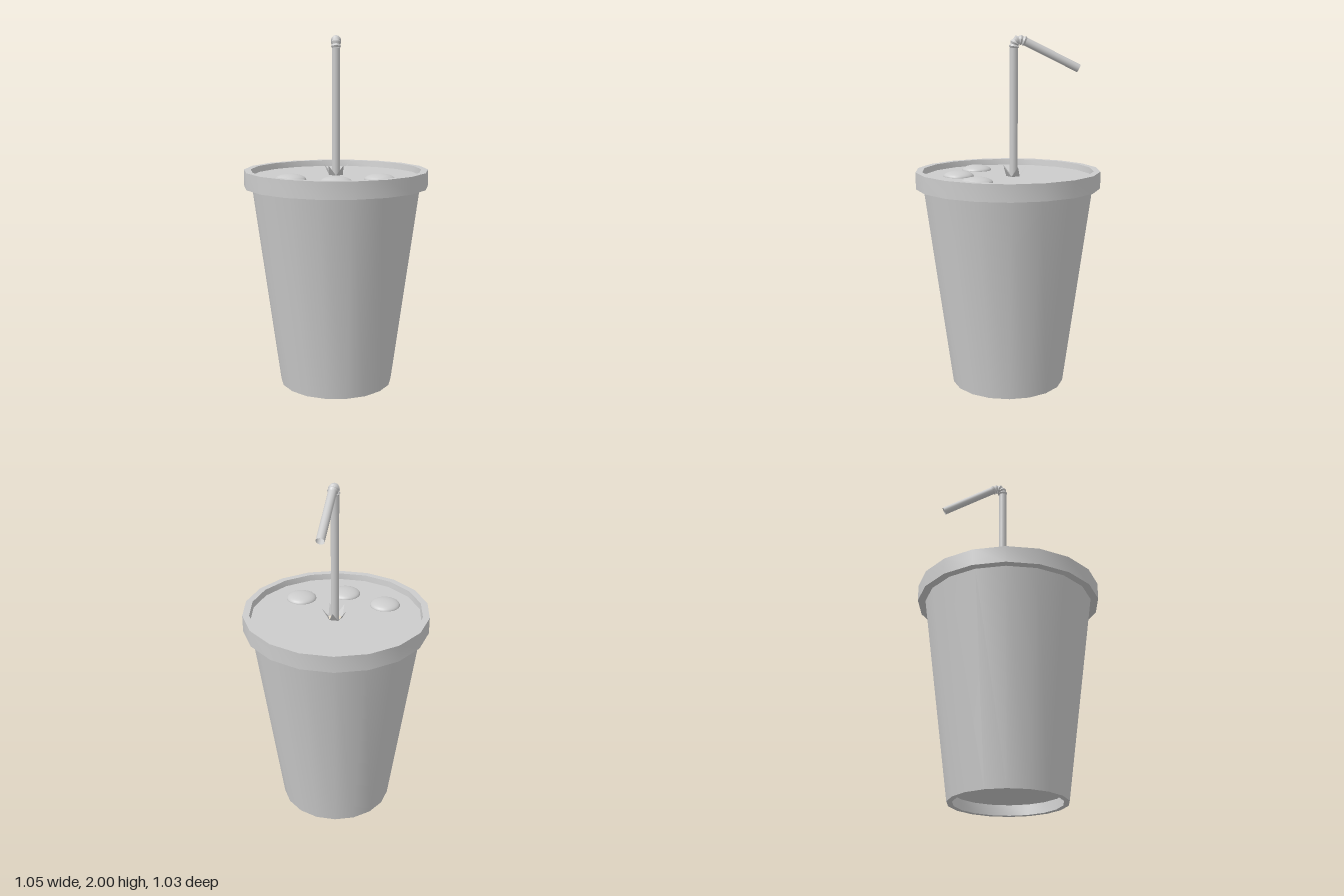
import * as THREE from 'three';
import { toCreasedNormals } from 'three/addons/utils/BufferGeometryUtils.js';

const SIDES = 18;
const FLOOR_Y = 1.215;
const STRAW_Z = -0.033;
const STRAW_R = 0.023;

export function createModel() {
  const group = new THREE.Group();
  const solid = new THREE.MeshStandardMaterial({ color: 0xcccccc });
  const thin = new THREE.MeshStandardMaterial({ color: 0xcccccc, side: THREE.DoubleSide });

  const add = (name, geometry, material = solid) => {
    const mesh = new THREE.Mesh(geometry, material);
    mesh.name = name;
    group.add(mesh);
    return mesh;
  };
  const lathe = (points) => toCreasedNormals(new THREE.LatheGeometry(
    points.map(([r, y]) => new THREE.Vector2(r, y)), SIDES, Math.PI / 2), 0.6);

  // Tapered cup with a recessed base
  add('cup', lathe([[0, 0.06], [0.302, 0.06], [0.295, 0], [0.325, 0], [0.482, 1.16]]));

  // Raised lid rim
  add('lidRim', lathe([[0.478, 1.155], [0.525, 1.155], [0.525, 1.25], [0.487, 1.25], [0.482, FLOOR_Y]]));

  // Sunken lid panel with a five-sided straw hole
  const ring = (n, r, offset, cy) => Array.from({ length: n }, (_, i) => {
    const a = offset + i / n * Math.PI * 2;
    return new THREE.Vector2(r * Math.cos(a), cy + r * Math.sin(a));
  });
  const panel = new THREE.Shape(ring(SIDES, 0.484, 0, 0));
  const hole = ring(5, 0.042, Math.PI * 0.3, -STRAW_Z);
  panel.holes.push(new THREE.Path(hole));
  add('lidPanel', new THREE.ShapeGeometry(panel).rotateX(-Math.PI / 2).translate(0, FLOOR_Y, 0), thin);

  // Torn flaps folded up around the hole
  const tips = ring(5, 0.072, Math.PI * 0.5, -STRAW_Z);
  const flaps = [];
  tips.forEach((tip, i) => {
    const a = hole[i], b = hole[(i + 1) % 5];
    flaps.push(a.x, FLOOR_Y, -a.y, b.x, FLOOR_Y, -b.y, tip.x, 1.275, -tip.y);
  });
  const flapGeometry = new THREE.BufferGeometry();
  flapGeometry.setAttribute('position', new THREE.Float32BufferAttribute(flaps, 3));
  flapGeometry.computeVertexNormals();
  add('strawHoleFlaps', flapGeometry, thin);

  // Three shallow press buttons
  [[-0.25, 0.18], [0, 0.28], [0.241, 0.173]].forEach(([x, z], i) => {
    const dome = new THREE.SphereGeometry(0.087, 24, 8, 0, Math.PI * 2, 0, Math.PI / 2);
    add('lidButton' + (i + 1), dome.scale(1, 0.36, 1).translate(x, FLOOR_Y, z));
  });

  // Straw: straight stem, ribbed elbow, drooping mouthpiece
  const stemTop = new THREE.Vector3(0, 1.93, STRAW_Z);
  const elbowEnd = new THREE.Vector3(0, 1.965, -0.1);
  const tip = new THREE.Vector3(0, 1.819, -0.396);
  const tube = (from, to) => new THREE.TubeGeometry(new THREE.LineCurve3(from, to), 1, STRAW_R, 16);
  add('strawStem', tube(new THREE.Vector3(0, 1.0, STRAW_Z), stemTop), thin);
  add('strawMouthpiece', tube(elbowEnd, tip), thin);

  const bend = new THREE.QuadraticBezierCurve3(stemTop, new THREE.Vector3(0, 1.995, STRAW_Z - 0.005), elbowEnd);
  const steps = 10, radial = 16;
  const elbow = new THREE.TubeGeometry(bend, steps, STRAW_R, radial);
  const pos = elbow.attributes.position;
  const v = new THREE.Vector3();
  for (let i = 0; i < pos.count; i++) {
    const step = Math.floor(i / (radial + 1));
    const centre = bend.getPointAt(step / steps);
    v.fromBufferAttribute(pos, i).sub(centre).multiplyScalar(step % 2 ? 1.24 : 0.95).add(centre);
    pos.setXYZ(i, v.x, v.y, v.z);
  }
  add('strawElbow', toCreasedNormals(elbow, 0.6), thin);

  return group;
}
